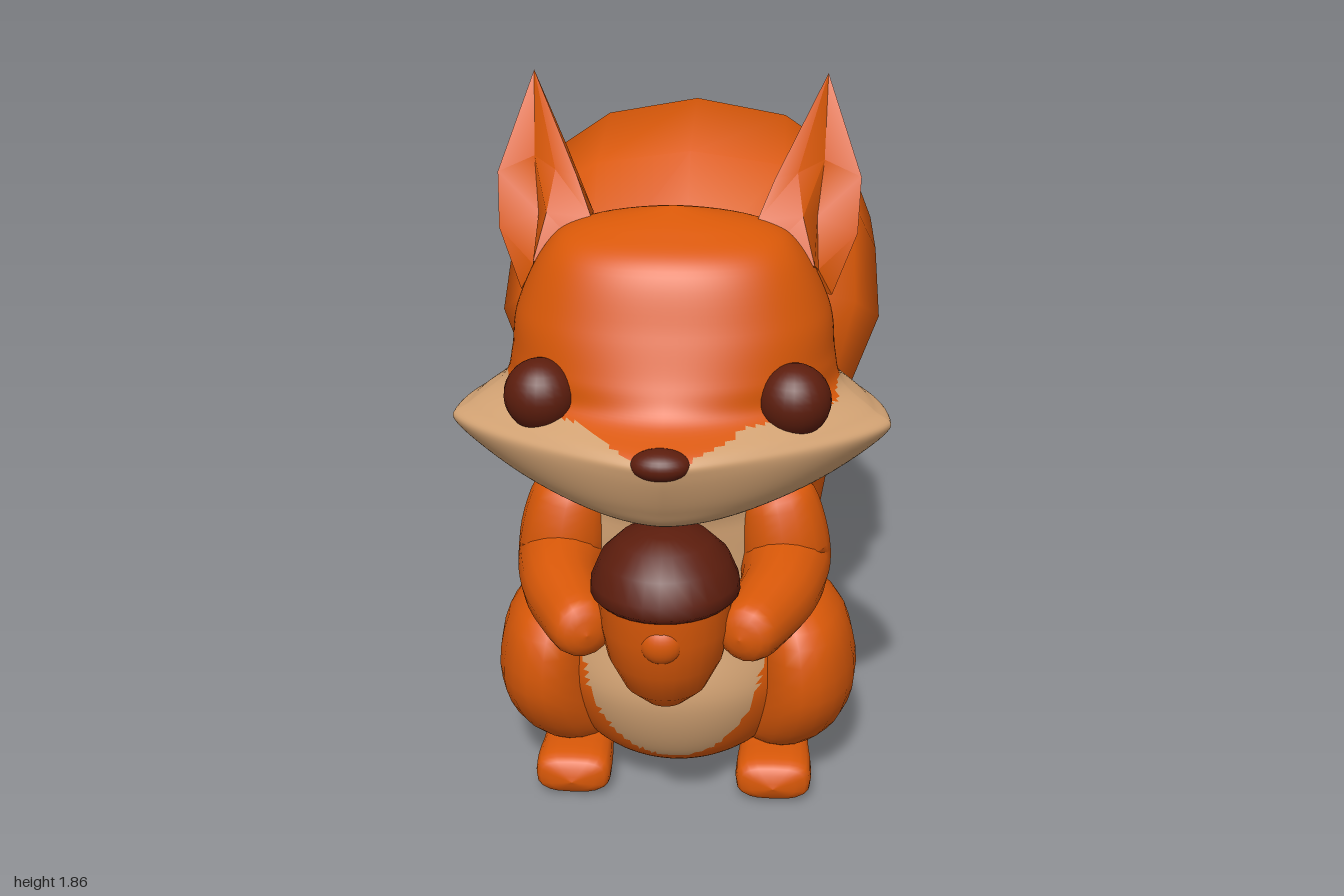
import * as THREE from 'three';
import { toCreasedNormals } from 'three/addons/utils/BufferGeometryUtils.js';

const material = (name, color) => new THREE.MeshStandardMaterial({ name, color });

// Smoothly fill in extra rows between rows of numbers (Catmull-Rom)
function refine(rows, steps) {
  const out = [];
  const at = (i) => rows[Math.max(0, Math.min(rows.length - 1, i))];
  for (let i = 0; i < rows.length - 1; i++) {
    for (let s = 0; s < steps; s++) {
      const t = s / steps;
      out.push(rows[i].map((p1, k) => {
        const p0 = at(i - 1)[k], p2 = at(i + 1)[k], p3 = at(i + 2)[k];
        return p1 + 0.5 * t * (p2 - p0 + t * (2 * p0 - 5 * p1 + 4 * p2 - p3 + t * (3 * (p1 - p2) + p3 - p0)));
      }));
    }
  }
  out.push(rows[rows.length - 1]);
  return out;
}

// Point on a unit superellipse: [cos-like, sin-like]
function superPoint(t, n) {
  const c = Math.cos(t), s = Math.sin(t);
  return [Math.sign(c) * Math.abs(c) ** (2 / n), Math.sign(s) * Math.abs(s) ** (2 / n)];
}

const ring = (sides, fn) => Array.from({ length: sides }, (_, j) => fn((j / sides) * Math.PI * 2));

// Skin closed rings of [x, y, z]; rule(x, y, z) picks the material index of each face
function loft(rings, rule = () => 0) {
  const n = rings[0].length, pts = rings.flat(), faces = [[], []];
  const tris = [];
  for (let i = 0; i < rings.length - 1; i++) {
    for (let j = 0; j < n; j++) {
      const a = i * n + j, b = i * n + ((j + 1) % n), c = a + n, d = b + n;
      tris.push([a, b, d], [a, d, c]);
    }
  }
  // Turn every face outward using the signed volume
  const v = (i) => new THREE.Vector3(...pts[i]);
  let volume = 0;
  for (const [a, b, c] of tris) volume += v(a).dot(v(b).cross(v(c)));
  for (const [a, b, c] of tris) {
    const mid = [0, 1, 2].map((k) => (pts[a][k] + pts[b][k] + pts[c][k]) / 3);
    faces[rule(...mid)].push(...(volume > 0 ? [a, b, c] : [a, c, b]));
  }
  const geo = new THREE.BufferGeometry();
  geo.setAttribute('position', new THREE.Float32BufferAttribute(pts.flat(), 3));
  geo.setIndex(faces.flat());
  if (faces[1].length) {
    geo.addGroup(0, faces[0].length, 0);
    geo.addGroup(faces[0].length, faces[1].length, 1);
  }
  geo.computeVertexNormals();
  return geo;
}

// Upright form from rows of [y, half width, back z, widest z, front z, front roundness]
function uprightForm(rows, rule) {
  return loft(refine(rows, 9).map(([y, w, back, mid, front, n]) => ring(112, (t) => {
    const [c, s] = superPoint(t, Math.cos(t) > 0 ? n : 2);
    return [Math.max(0, w) * s, y, mid + c * (c > 0 ? front - mid : mid - back)];
  })), rule);
}

// Rounded limb from rows of [x, y, z, radius]
function limb(rows) {
  const fine = refine(rows, 4);
  const pos = fine.map((r) => new THREE.Vector3(r[0], r[1], r[2]));
  return loft(fine.map((r, i) => {
    const dir = pos[Math.min(i + 1, pos.length - 1)].clone().sub(pos[Math.max(i - 1, 0)]).normalize();
    const u = new THREE.Vector3(1, 0, 0).addScaledVector(dir, -dir.x).normalize();
    const w = dir.clone().cross(u);
    return ring(16, (t) => pos[i].clone().addScaledVector(u, Math.cos(t) * Math.max(0, r[3]))
      .addScaledVector(w, Math.sin(t) * Math.max(0, r[3])).toArray());
  }));
}

export function createModel() {
  const model = new THREE.Group();
  const fur = material('orange fur', 0xd95808);
  const cream = material('cream fur', 0xd2a273);
  const brown = material('dark brown', 0x5c1d0d);

  const add = (name, geo, mat) => {
    const mesh = new THREE.Mesh(geo, mat);
    mesh.name = name;
    model.add(mesh);
    return mesh;
  };
  const ball = (name, mat, pos, size) => {
    const mesh = add(name, new THREE.SphereGeometry(1, 24, 16), mat);
    mesh.position.set(...pos);
    mesh.scale.set(...size);
  };

  // Body with cream belly
  add('body', uprightForm([
    [0.03, 0, 0.35, 0.35, 0.35, 2],
    [0.05, 0.13, 0.2, 0.35, 0.48, 2],
    [0.13, 0.27, 0.09, 0.33, 0.59, 2],
    [0.3, 0.36, -0.02, 0.32, 0.65, 2],
    [0.48, 0.385, -0.02, 0.3, 0.615, 2],
    [0.62, 0.37, 0.01, 0.3, 0.6, 2],
    [0.78, 0.31, 0.15, 0.35, 0.61, 2],
    [0.9, 0.21, 0.25, 0.42, 0.62, 2],
    [0.96, 0, 0.42, 0.42, 0.42, 2],
  ], (x, y, z) => (z > 0.4 && (x / 0.235) ** 2 + ((y - 0.45) / (y < 0.45 ? 0.335 : 0.6)) ** 2 < 1 ? 1 : 0)),
  [fur, cream]);

  // Head with flared cheeks, pointed snout and cream muzzle
  add('head', uprightForm([
    [1.59, 0, 0.5, 0.5, 0.5, 2],
    [1.55, 0.22, 0.37, 0.5, 0.62, 2],
    [1.49, 0.31, 0.29, 0.5, 0.72, 2.2],
    [1.35, 0.38, 0.22, 0.5, 0.78, 2.2],
    [1.24, 0.395, 0.155, 0.52, 0.825, 2],
    [1.17, 0.415, 0.15, 0.55, 0.87, 1.6],
    [1.12, 0.49, 0.15, 0.61, 0.975, 1.35],
    [1.08, 0.53, 0.165, 0.63, 0.985, 1.3],
    [0.98, 0.42, 0.23, 0.6, 0.94, 1.5],
    [0.92, 0.28, 0.32, 0.57, 0.88, 1.7],
    [0.88, 0.12, 0.45, 0.56, 0.7, 2],
    [0.87, 0, 0.56, 0.56, 0.56, 2],
  ], (x, y, z) => (y < 1.1 + 0.055 * Math.min(1, Math.abs(x) / 0.2) + (Math.abs(x) > 0.4 ? 0.03 : 0)
    && z > 0.33 + 0.55 * Math.max(0, 1.08 - y) ? 1 : 0)), [fur, cream]);
  ball('nose', brown, [0, 1.107, 0.952], [0.07, 0.037, 0.048]);

  // Big curled tail: rows of outer z, y, inner z, y, half width
  add('tail', loft([
    [0.18, 0.05, 0.18, 0.05, 0],
    [0.12, 0.2, 0.14, 0.035, 0.14],
    [0.0, 0.36, -0.1, 0.06, 0.26],
    [-0.02, 0.44, -0.27, 0.1, 0.32],
    [-0.02, 0.52, -0.44, 0.32, 0.37],
    [0.0, 0.62, -0.5, 0.57, 0.4],
    [0.12, 0.9, -0.38, 0.88, 0.45],
    [0.07, 1.26, -0.39, 0.94, 0.53],
    [-0.18, 1.56, -0.43, 0.95, 0.52],
    [-0.5, 1.64, -0.48, 0.95, 0.51],
    [-0.85, 1.46, -0.5, 0.91, 0.47],
    [-1.0, 1.16, -0.5, 0.85, 0.45],
    [-0.97, 0.84, -0.5, 0.79, 0.39],
    [-0.79, 0.66, -0.6, 0.7, 0.23],
    [-0.7, 0.69, -0.7, 0.69, 0],
  ].map(([az, ay, bz, by, w]) => ring(12, (t) => {
    const c = Math.cos(t), s = Math.sin(t);
    return [s * w, (ay + by) / 2 + (c * (ay - by)) / 2, (az + bz) / 2 + (c * (az - bz)) / 2];
  }))), fur);

  // Ear rings, base to tip: inner edge, lip, hollow, outer edge, outer back, inner back
  const earRings = [
    Array(6).fill([0.3, 1.36, 0.42]),
    [[0.2, 1.45, 0.51], [0.34, 1.45, 0.52], [0.35, 1.42, 0.45], [0.385, 1.35, 0.43], [0.375, 1.34, 0.385], [0.21, 1.42, 0.34]],
    [[0.2, 1.55, 0.485], [0.31, 1.56, 0.48], [0.345, 1.53, 0.37], [0.445, 1.49, 0.37], [0.42, 1.49, 0.3], [0.215, 1.52, 0.31]],
    [[0.24, 1.64, 0.43], [0.295, 1.65, 0.41], [0.36, 1.66, 0.31], [0.452, 1.62, 0.32], [0.425, 1.65, 0.24], [0.285, 1.67, 0.25]],
    Array(6).fill([0.365, 1.86, 0.237]),
  ];

  for (const [side, s] of [['left', 1], ['right', -1]]) {
    ball(side + 'Eye', brown, [0.298 * s, 1.19, 0.74], [0.088, 0.088, 0.085]);
    add(side + 'Ear', toCreasedNormals(loft(earRings.map((r) => r.map(([x, y, z]) => [x * s, y, z]))), 0.9), fur);

    // Arm bent forward to hold the acorn
    add(side + 'Arm', limb([
      [0.25, 0.9, 0.5, 0],
      [0.255, 0.865, 0.5, 0.085],
      [0.275, 0.77, 0.51, 0.11],
      [0.285, 0.67, 0.525, 0.115],
      [0.272, 0.655, 0.66, 0.1],
      [0.23, 0.645, 0.78, 0.088],
      [0.19, 0.64, 0.88, 0.068],
      [0.18, 0.64, 0.905, 0],
    ].map(([x, ...rest]) => [x * s, ...rest])), fur);

    // Thigh from rows of y, centre x, half width, centre z, half depth
    add(side + 'Thigh', loft(refine([
      [0.55, 0.29, 0, 0.38, 0],
      [0.53, 0.295, 0.08, 0.38, 0.13],
      [0.45, 0.325, 0.125, 0.385, 0.22],
      [0.3, 0.335, 0.145, 0.37, 0.25],
      [0.18, 0.31, 0.14, 0.37, 0.2],
      [0.1, 0.275, 0.1, 0.36, 0.13],
      [0.05, 0.26, 0, 0.36, 0],
    ], 3).map(([y, cx, w, cz, d]) => ring(20, (t) =>
      [s * (cx + Math.max(0, w) * Math.cos(t)), y, cz + Math.max(0, d) * Math.sin(t)]))), fur);

    // Foot from rows of z, half width, bottom, top
    add(side + 'Foot', loft(refine([
      [0.16, 0, 0.06, 0.06],
      [0.2, 0.07, 0, 0.16],
      [0.3, 0.09, 0, 0.2],
      [0.42, 0.092, 0, 0.125],
      [0.55, 0.1, 0.003, 0.117],
      [0.605, 0.085, 0.01, 0.1],
      [0.625, 0, 0.05, 0.05],
    ], 3).map(([z, w, low, high]) => ring(20, (t) => {
      const [c, d] = superPoint(t, 3);
      return [s * (0.265 + Math.max(0, w) * c), Math.max(0, (low + high) / 2 + (d * (high - low)) / 2), z];
    }))), fur);
  }

  // Acorn: nut, cap and a small knob on the front
  const turned = (name, profile, mat) => {
    const mesh = add(name, new THREE.LatheGeometry(profile.map((p) => new THREE.Vector2(...p)), 28), mat);
    mesh.position.z = 0.82;
  };
  turned('acornNut', [[0, 0.42], [0.05, 0.435], [0.1, 0.48], [0.14, 0.56], [0.16, 0.65], [0.163, 0.74]], fur);
  turned('acornCap', [[0, 0.725], [0.165, 0.72], [0.18, 0.735], [0.178, 0.765], [0.155, 0.82],
    [0.11, 0.865], [0.055, 0.885], [0, 0.89]], brown);
  ball('acornKnob', fur, [0, 0.655, 0.955], [0.052, 0.052, 0.036]);

  return model;
}
